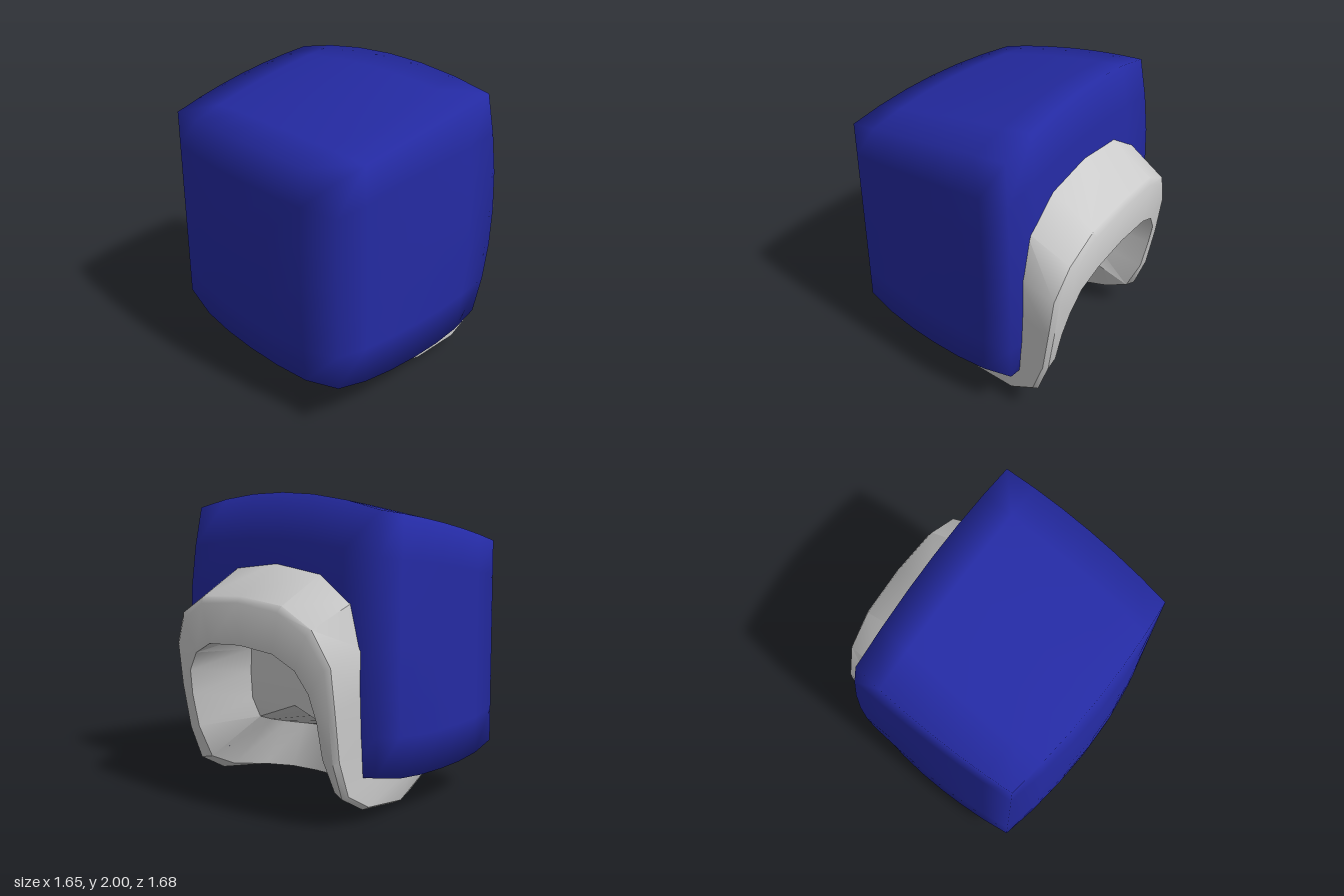
import * as THREE from 'three';
import { mergeVertices, toCreasedNormals } from 'three/addons/utils/BufferGeometryUtils.js';

// Bulged, slightly slanted cushion; u, v, w run -1..1 across the block
function bulge(u, v, w) {
  const U = 1 - u * u, V = 1 - v * v, W = 1 - w * w;
  const low = (1 - v) / 2, back = (1 - w) / 2;
  const lowBack = (low * back) ** 4;
  const x = u * (0.745 + 0.025 * back + 0.02 * low + 0.045 * V * back ** 3 + 0.03 * W - 0.025 * lowBack);
  const top = (1.69 + 0.03 * U) * (1 - back) + (1.9 + 0.1 * U) * back + 0.02 * W;
  const corner = u ** 4 * (0.04 * (1 - back) ** 4 + 0.03 * back ** 4);
  const bottom = 0.3 - 0.03 * (1 - u ** 8) - 0.03 * (1 - w ** 4) + corner;
  const zFront = 0.73 + U * (0.05 + 0.05 * V + 0.02 * low);
  const zBack = -0.07 * u - (0.445 + 0.02 * low + 0.06 * V);
  return [x, bottom * low + top * (1 - low), zFront * (1 - back) + zBack * back];
}

function cushionGeometry() {
  let g = new THREE.BoxGeometry(2, 2, 2, 6, 6, 6);
  g.clearGroups();
  g.deleteAttribute('uv');
  g.deleteAttribute('normal');
  g = mergeVertices(g);
  const p = g.attributes.position;
  for (let i = 0; i < p.count; i++) p.setXYZ(i, ...bulge(p.getX(i), p.getY(i), p.getZ(i)));
  g.computeVertexNormals();
  // Open the lower back edge where the collar's hollow sinks in
  const inHole = (i) => {
    const x = Math.abs(p.getX(i)), y = p.getY(i), z = p.getZ(i);
    return x < 0.6 && ((y < 1.2 && z < -0.36) || (y < 0.34 && z < 0.2));
  };
  const keep = [];
  const idx = g.index.array;
  for (let i = 0; i < idx.length; i += 3) {
    const tri = [idx[i], idx[i + 1], idx[i + 2]];
    if (!tri.every(inHole)) keep.push(...tri);
  }
  g.setIndex(keep);
  return g;
}

// Half outlines of the collar, from bottom front centre over the fold to back top centre
const BASE = [[0, 0.27, 0.56], [0.36, 0.27, 0.52], [0.58, 0.27, 0.37], [0.66, 0.27, 0], [0.67, 0.28, -0.3], [0.67, 0.33, -0.44],
  [0.68, 0.5, -0.48], [0.69, 0.8, -0.48], [0.695, 1.1, -0.48], [0.61, 1.37, -0.48], [0.36, 1.53, -0.47], [0, 1.58, -0.46]];
const RIM = [[0, 0.02, 0.28], [0.3, 0.025, 0.25], [0.52, 0.04, 0.14], [0.64, 0.07, -0.08], [0.665, 0.11, -0.4], [0.67, 0.22, -0.58],
  [0.675, 0.45, -0.66], [0.685, 0.75, -0.705], [0.68, 1.02, -0.735], [0.57, 1.23, -0.77], [0.35, 1.35, -0.785], [0, 1.38, -0.79]];
const INNER = [[0, 0.035, 0.09], [0.24, 0.04, 0.07], [0.4, 0.055, 0], [0.5, 0.085, -0.16], [0.55, 0.13, -0.4], [0.56, 0.22, -0.58],
  [0.56, 0.45, -0.68], [0.56, 0.68, -0.725], [0.53, 0.85, -0.76], [0.44, 0.98, -0.78], [0.28, 1.06, -0.8], [0, 1.08, -0.8]];
const FLOOR = [[0, 0.38, 0.1], [0.19, 0.38, 0.09], [0.32, 0.38, 0.04], [0.39, 0.4, -0.06], [0.39, 0.44, -0.2], [0.36, 0.49, -0.33],
  [0.4, 0.62, -0.36], [0.4, 0.8, -0.37], [0.39, 0.96, -0.37], [0.32, 1.08, -0.37], [0.18, 1.16, -0.37], [0, 1.19, -0.37]];
// Narrow bevel just inside the rim
const LIP = RIM.map(([x, y, z], i) => [
  x * 0.955, y - 0.018 + (i > 8 ? -0.02 : 0), z - 0.022 - (i < 3 ? 0.02 : 0)]);
// Middle line of the hollow's floor, rising to a deepest point at the fold
const FOLD = 5;
const SPINE = FLOOR.map((_, i) => {
  const t = i < FOLD ? i / FOLD : (11 - i) / (11 - FOLD);
  const end = i < FOLD ? FLOOR[0] : FLOOR[11];
  return [0, THREE.MathUtils.lerp(end[1], 0.63, t), THREE.MathUtils.lerp(end[2], -0.36, t)];
});

// The collar follows the slant of the cushion's back
const slant = ([x, y, z]) => [x, y, z - 0.08 * x];
const mirror = (half) => half.map(([x, y, z]) => [-x, y, z]);

function collarGeometry() {
  const out = [];
  const band = (a, b) => {
    for (let i = 0; i + 1 < a.length; i++) {
      out.push(a[i], b[i], a[i + 1], b[i], b[i + 1], a[i + 1]);
    }
  };
  const loop = (half) => [...half, ...mirror(half).reverse().slice(1)].map(slant);
  const rings = [BASE, RIM, LIP, INNER, FLOOR].map(loop);
  for (let r = 0; r + 1 < rings.length; r++) band(rings[r], rings[r + 1]);
  // Folded floor of the hollow
  band(FLOOR.map(slant), SPINE);
  band(SPINE, mirror(FLOOR).map(slant));
  const g = new THREE.BufferGeometry();
  g.setAttribute('position', new THREE.Float32BufferAttribute(out.flat(), 3));
  return toCreasedNormals(g, 0.6);
}

export function createModel() {
  const group = new THREE.Group();
  const add = (name, geometry, color) => {
    const mesh = new THREE.Mesh(geometry, new THREE.MeshStandardMaterial({ color }));
    mesh.name = name;
    group.add(mesh);
  };
  add('cushion', cushionGeometry(), 0x242aa2);
  add('collar', collarGeometry(), 0xcccccc);
  return group;
}
